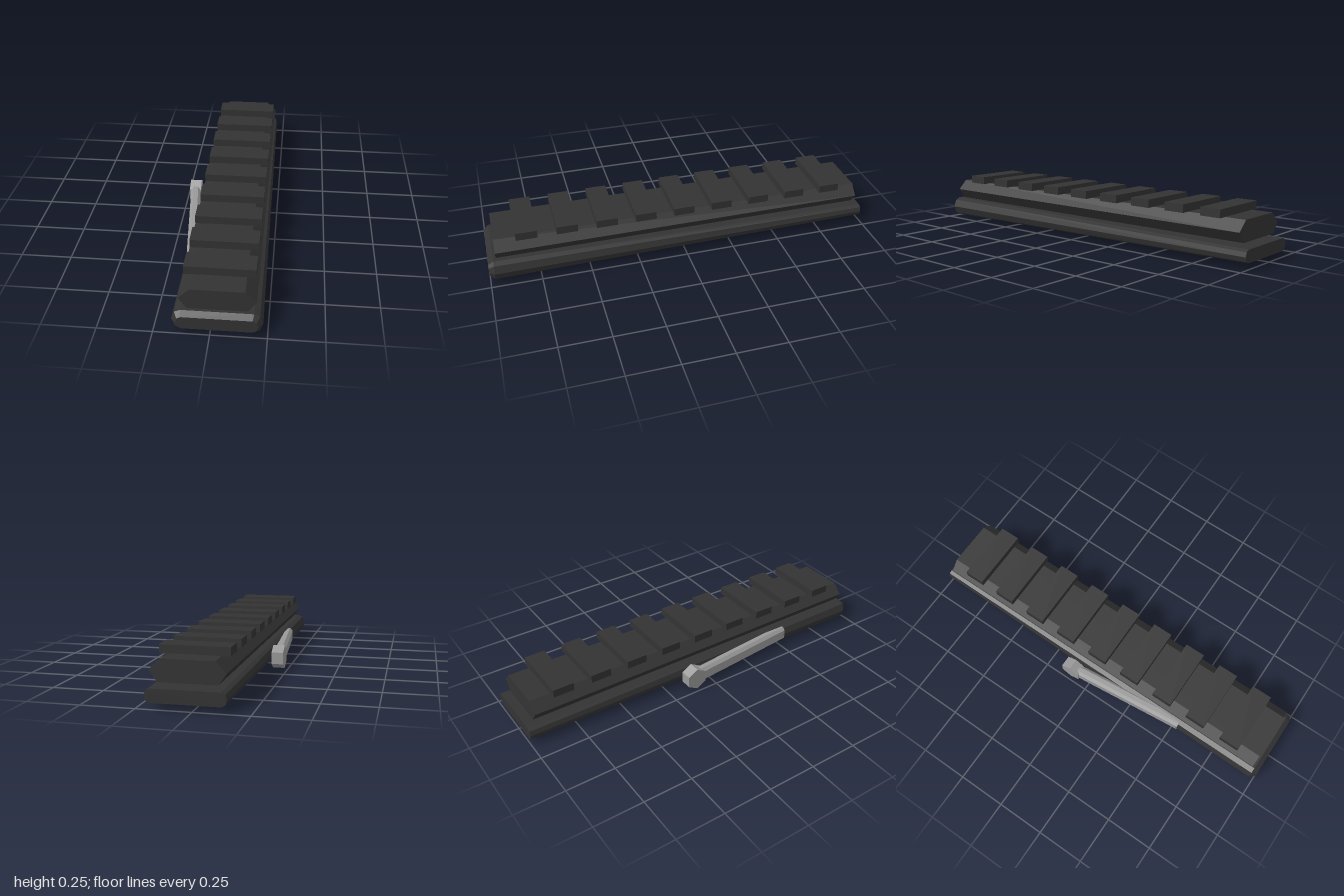
import * as THREE from 'three';

const dark = new THREE.MeshStandardMaterial({ color: 0x333333, flatShading: true });
const steel = new THREE.MeshStandardMaterial({ color: 0x999999, flatShading: true });
const CX = 0.03; // centre line of base and rail

function part(name, geometry, material, x = 0, y = 0, z = 0) {
  const mesh = new THREE.Mesh(geometry, material);
  mesh.name = name;
  mesh.position.set(x, y, z);
  return mesh;
}

// Mirror one quadrant (listed from right-hand side to top) into a closed counterclockwise loop
function mirrored(quadrant) {
  const half = [...quadrant, ...quadrant.map(([x, y]) => [-x, y]).reverse()];
  const all = [...half, ...half.map(([x, y]) => [-x, -y])];
  return all.filter(([x, y], i) => {
    const [px, py] = all[(i + all.length - 1) % all.length];
    return Math.hypot(x - px, y - py) > 1e-6;
  });
}

// Skin cross-sections ordered from back to front, with flat end caps
function loft(sections) {
  const n = sections[0].loop.length;
  const points = sections.flatMap(({ loop, z }) => loop.map(([x, y]) => [x, y, z])).flat();
  const index = [];
  for (let s = 0; s < sections.length - 1; s++) {
    for (let i = 0; i < n; i++) {
      const a = s * n + i, b = s * n + (i + 1) % n;
      index.push(a, b, b + n, a, b + n, a + n);
    }
  }
  const front = (sections.length - 1) * n;
  for (let i = 1; i < n - 1; i++) {
    index.push(0, i + 1, i);
    index.push(front, front + i, front + i + 1);
  }
  const g = new THREE.BufferGeometry();
  g.setAttribute('position', new THREE.Float32BufferAttribute(points, 3));
  g.setIndex(index);
  const flat = g.toNonIndexed();
  flat.computeVertexNormals();
  return flat;
}

// Straight bar of constant outline, centred on z
function prism(loop, length) {
  return loft([{ loop, z: -length / 2 }, { loop, z: length / 2 }]);
}

export function createModel() {
  const model = new THREE.Group();
  model.name = 'accessoryRail';

  // Rounded base, tapering to the back, bevelled at the front
  const small = mirrored([[0.18, 0], [0.173, 0.022], [0.155, 0.031]]);
  const large = mirrored([[0.2, 0], [0.186, 0.038], [0.16, 0.05]]);
  const base = loft([{ loop: small, z: -1 }, { loop: large, z: 0.975 }, { loop: small, z: 1 }]);
  model.add(part('base', base, dark, CX, 0.06, 0));

  // Rail with angled flanks
  const railLoop = [[-0.133, 0.11], [0.133, 0.11], [0.17, 0.162], [0.12, 0.212], [-0.12, 0.212], [-0.17, 0.162]];
  model.add(part('rail', prism(railLoop, 1.92), dark, CX, 0, 0));

  // Cross ribs
  const ribs = new THREE.Group();
  ribs.name = 'ribs';
  const ribGeometry = new THREE.BoxGeometry(0.32, 0.04, 0.106);
  for (let i = -4; i <= 4; i++) ribs.add(part('rib', ribGeometry, dark, CX, 0.231, i * 0.2));
  model.add(ribs);

  // Chamfered side lever, angled into the base
  const lever = new THREE.Group();
  lever.name = 'lever';
  const armLoop = mirrored([[0.027, 0.025], [0.012, 0.04]]);
  const arm = part('leverArm', prism(armLoop, 0.65), steel, -0.17, 0.06, 0.205);
  arm.rotation.y = Math.atan(0.1);
  lever.add(arm);

  // Hexagonal knob at the end of the lever
  const knob = new THREE.CylinderGeometry(0.06, 0.06, 0.06, 6);
  knob.rotateY(Math.PI / 6);
  knob.rotateZ(Math.PI / 2);
  lever.add(part('leverKnob', knob, steel, -0.2, 0.06, -0.107));
  model.add(lever);

  return model;
}
